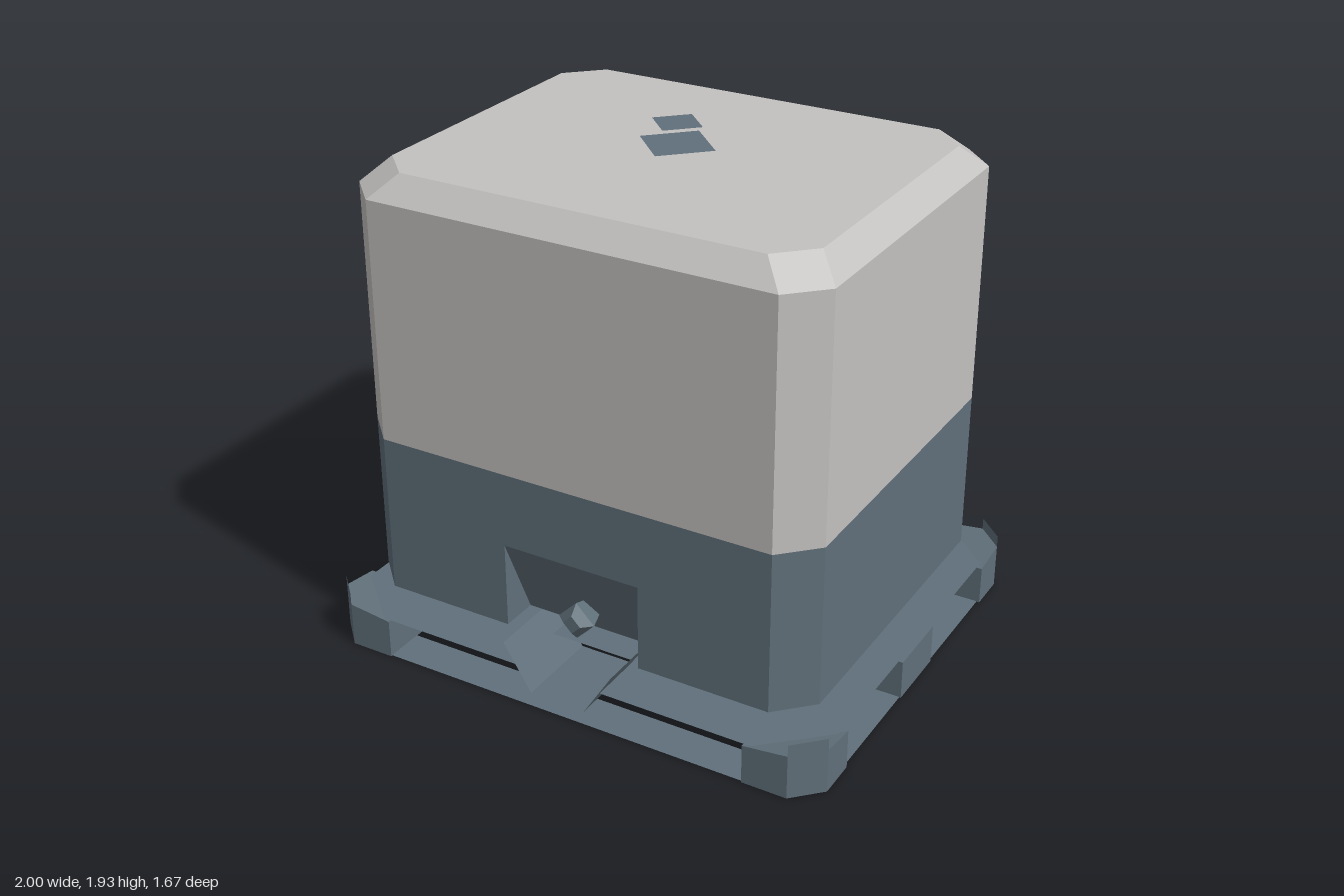
import * as THREE from 'three';

const shell = new THREE.MeshStandardMaterial({ color: 0xc4c2c0, side: THREE.DoubleSide });
shell.name = 'warm grey';
const base = new THREE.MeshStandardMaterial({ color: 0x60707a, side: THREE.DoubleSide });
base.name = 'slate blue';

// Flat-shaded geometry from convex polygons, each a loop of [x, y, z] corners
function faces(polygons) {
  const pos = [];
  for (const p of polygons)
    for (let i = 1; i < p.length - 1; i++) pos.push(...p[0], ...p[i], ...p[i + 1]);
  const g = new THREE.BufferGeometry();
  g.setAttribute('position', new THREE.Float32BufferAttribute(pos, 3));
  g.computeVertexNormals();
  return g;
}

// Rectangle with cut corners, as [x, z] points starting on the front edge
function octagon(w, d, c) {
  return [[c - w, d], [w - c, d], [w, d - c], [w, c - d],
    [w - c, -d], [c - w, -d], [-w, c - d], [-w, d - c]];
}

const ring = (outline, y) => outline.map(([x, z]) => [x, y, z]);

// Walls joining two rings with the same number of corners
function walls(lower, upper) {
  return lower.map((a, i) => {
    const j = (i + 1) % lower.length;
    return [a, lower[j], upper[j], upper[i]];
  });
}

// Horizontal sheet from [x, z] points
function sheet(outline, y, hole) {
  const toV = (o) => o.map(([x, z]) => new THREE.Vector2(x, -z));
  const s = new THREE.Shape(toV(outline));
  if (hole) s.holes.push(new THREE.Path(toV(hole)));
  return new THREE.ShapeGeometry(s).rotateX(-Math.PI / 2).translate(0, y, 0);
}

// Four-sided tapered piece lying along z, from z0 (radius r0) to z1 (radius r1)
function taper(r0, r1, z0, z1, y) {
  const g = new THREE.CylinderGeometry(r1, r0, z1 - z0, 4).toNonIndexed();
  g.computeVertexNormals();
  return g.rotateX(Math.PI / 2).translate(0, y, (z0 + z1) / 2);
}

export function createModel() {
  const model = new THREE.Group();
  const add = (name, geometry, material) => {
    const m = new THREE.Mesh(geometry, material);
    m.name = name;
    model.add(m);
  };

  const W = 0.9, D = 0.733, C = 0.127;
  const body = octagon(W, D, C);
  const lid = octagon(0.815, 0.65, 0.125);
  const floorY = 0.236, bandY = 0.846, shoulderY = 1.75, topY = 1.834;

  // Upper shell with bevelled shoulder and flat lid
  add('upperShell', faces([
    ...walls(ring(body, bandY), ring(body, shoulderY)),
    ...walls(ring(body, shoulderY), ring(lid, topY)),
    ring(lid, topY),
  ]), shell);

  // Lower band: every wall but the front one
  add('lowerBand', faces(walls(ring(body, floorY), ring(body, bandY)).slice(1)), base);

  // Front wall with an opening for the outlet
  const rw = 0.27, rh = 0.562, rz = 0.59, e = W - C;
  const front = new THREE.Shape([
    [-e, floorY], [-rw, floorY], [-rw, rh], [rw, rh], [rw, floorY],
    [e, floorY], [e, bandY], [-e, bandY],
  ].map(([x, y]) => new THREE.Vector2(x, y)));
  add('lowerFrontWall', new THREE.ShapeGeometry(front).translate(0, 0, D), base);

  // Outlet recess: sloping back and triangular cheeks
  add('outletRecess', faces([
    [[-rw, floorY, rz], [rw, floorY, rz], [rw, rh, D], [-rw, rh, D]],
    [[-rw, floorY, D], [-rw, floorY, rz], [-rw, rh, D]],
    [[rw, floorY, rz], [rw, floorY, D], [rw, rh, D]],
  ]), base);

  // Four-sided outlet valve
  add('outletValve', taper(0.072, 0.035, 0.7, 0.733, 0.322), base);
  add('valveStem', taper(0.04, 0.072, 0.6, 0.7, 0.322), base);

  // Open drain trough beneath the valve
  const profile = [[-0.22, 0.235], [-0.11, 0.06], [0.11, 0.06], [0.22, 0.235]];
  add('drainTrough', faces(profile.slice(1).map(([x, y], i) => {
    const [px, py] = profile[i];
    return [[px, py, 0.835], [x, y, 0.835], [x, y, 0.5], [px, py, 0.5]];
  })), base);

  // Pallet deck resting on the feet, notched around the trough
  const deck = octagon(0.98, 0.825, 0.095);
  deck.splice(1, 0, [-0.17, 0.825], [-0.17, 0.6], [0.17, 0.6], [0.17, 0.825]);
  add('palletDeck', sheet(deck, 0.152), base);

  // Pallet runner frame on the ground
  add('palletRunner', sheet(octagon(0.99, 0.83, 0.1), 0.002, octagon(0.84, 0.68, 0.06)), base);

  // Corner feet: [x, z, wall-top height]
  const foot = [[0.73, 0.835, 0.15], [0.9, 0.835, 0.17], [1, 0.735, 0.17],
    [1, 0.585, 0.15], [0.73, 0.585, 0.15]];
  for (const sx of [1, -1]) for (const sz of [1, -1]) {
    const low = foot.map(([x, z]) => [x * sx, 0, z * sz]);
    const high = foot.map(([x, z, h]) => [x * sx, h, z * sz]);
    const sides = walls(low, high);
    // raised guard on the cut corner
    sides[1] = [low[1], low[2], [low[2][0], 0.215, low[2][2]], [low[1][0], 0.215, low[1][2]]];
    add('cornerFoot', faces([...sides, high, low]), base);
  }

  // Middle feet on the two sides
  for (const sx of [1, -1])
    add('middleFoot', new THREE.BoxGeometry(0.2, 0.15, 0.265).translate(sx * 0.895, 0.075, 0), base);

  // Filler cap: two diamond discs above the lid
  for (const [name, r, y] of [['fillerCapRim', 0.15, 1.86], ['fillerCapTop', 0.1, 1.935]])
    add(name, sheet([[0, r], [r, 0], [0, -r], [-r, 0]], y), base);

  return model;
}
